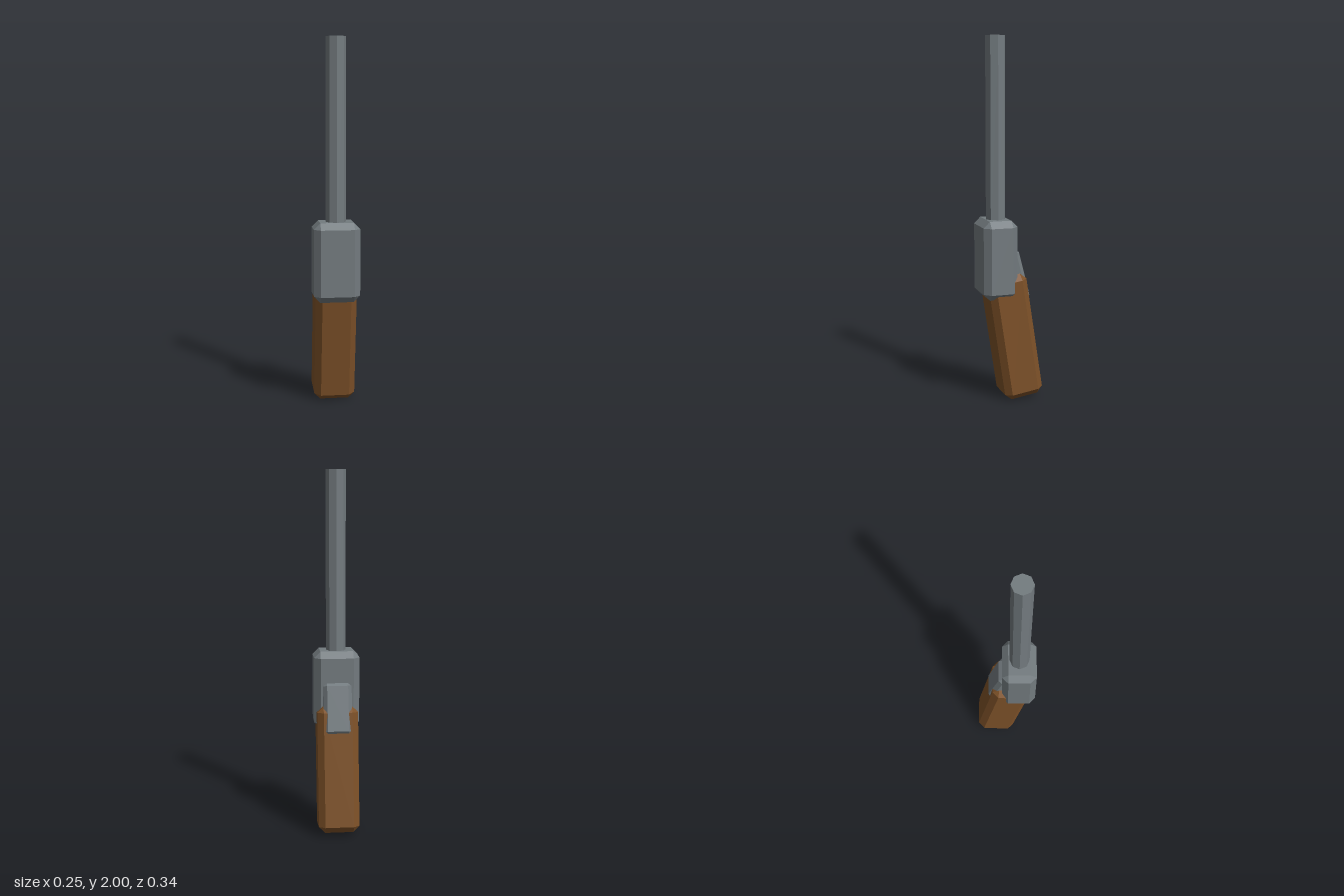
import * as THREE from 'three';
import { ConvexGeometry } from 'three/addons/geometries/ConvexGeometry.js';

// Box with every edge cut by one flat chamfer of size c.
function chamferBox(width, height, depth, c) {
  const half = [width / 2, height / 2, depth / 2];
  const points = [];
  for (const sx of [-1, 1]) for (const sy of [-1, 1]) for (const sz of [-1, 1]) {
    const sign = [sx, sy, sz];
    for (let axis = 0; axis < 3; axis++) {
      const p = half.map((h, i) => sign[i] * (i === axis ? h : h - c));
      points.push(new THREE.Vector3(...p));
    }
  }
  return new ConvexGeometry(points);
}

export function createModel() {
  const model = new THREE.Group();
  const steel = new THREE.MeshStandardMaterial({ color: 0x737b7f, flatShading: true });
  const wood = new THREE.MeshStandardMaterial({ color: 0x7d5128, flatShading: true });

  function add(name, geometry, material, y, z, tilt = 0) {
    const mesh = new THREE.Mesh(geometry, material);
    mesh.name = name;
    mesh.position.set(0, y, z);
    mesh.rotation.x = tilt;
    model.add(mesh);
  }

  // Eight-sided rod, sunk a little into the body
  add('barrel', new THREE.CylinderGeometry(0.055, 0.055, 1.05, 8), steel, 1.475, 0.075);

  // Main metal block
  add('body', chamferBox(0.252, 0.435, 0.192, 0.035), steel, 0.7975, 0.074);

  // Wooden handle, leaning back toward its foot
  add('grip', chamferBox(0.226, 0.702, 0.22, 0.034), wood, 0.3585, -0.016, 0.15);

  // Sloping metal plate behind the body
  add('backPlate', chamferBox(0.158, 0.292, 0.14, 0.021), steel, 0.694, -0.004, 0.25);

  return model;
}
